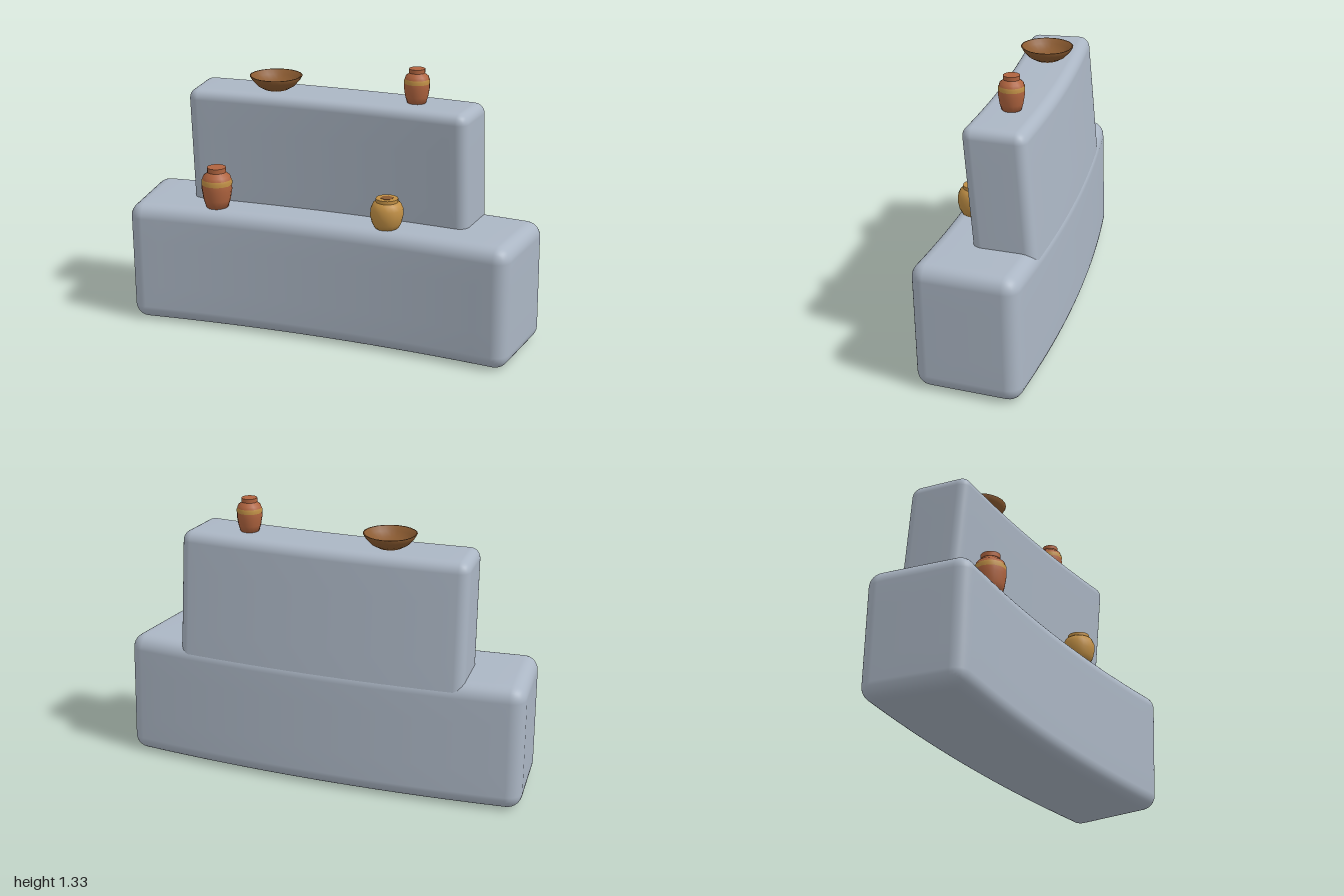
import * as THREE from 'three';
import { mergeVertices } from 'three/addons/utils/BufferGeometryUtils.js';

const mat = (name, color) => Object.assign(new THREE.MeshStandardMaterial({ color }), { name });

const BEND = 8.4; // radius of the gentle curve, centred in front

// Rounded block, bent around a vertical axis and leaning with height
function bentBlock(halfLen, y0, y1, halfDepth, r, zMid, lean) {
  const k = 4;
  const half = [halfLen, (y1 - y0) / 2, halfDepth];
  const n = [2 * k + 20, 2 * k + 4, 2 * k + 2];
  let geo = new THREE.BoxGeometry(1, 1, 1, ...n);
  const pos = geo.attributes.position;
  const p = new THREE.Vector3(), inner = new THREE.Vector3();
  // grid index to coordinate, with k narrow steps inside each rounded edge
  const place = (v, a) => {
    const i = Math.round((v + 0.5) * n[a]), h = half[a], flat = h - r;
    if (i <= k) return -h + (r * i) / k;
    if (i >= n[a] - k) return h - (r * (n[a] - i)) / k;
    return -flat + (2 * flat * (i - k)) / (n[a] - 2 * k);
  };
  for (let i = 0; i < pos.count; i++) {
    p.set(place(pos.getX(i), 0), place(pos.getY(i), 1), place(pos.getZ(i), 2));
    const c = p.toArray().map((v, a) => THREE.MathUtils.clamp(v, r - half[a], half[a] - r));
    inner.fromArray(c);
    p.sub(inner).setLength(r).add(inner);
    const y = p.y + (y0 + y1) / 2;
    const z = p.z + zMid + lean * (y - y0);
    const angle = p.x / BEND;
    pos.setXYZ(i, (BEND - z) * Math.sin(angle), y, BEND - (BEND - z) * Math.cos(angle));
  }
  geo.deleteAttribute('uv');
  geo.deleteAttribute('normal');
  geo = mergeVertices(geo, 1e-5);
  geo.computeVertexNormals();
  return geo;
}

const lathe = (pts, sides = 16) =>
  new THREE.LatheGeometry(pts.map(([x, y]) => new THREE.Vector2(x, y)), sides);

export function createModel() {
  const group = new THREE.Group();
  group.name = 'curvedShelf';
  const stone = mat('paleStone', 0xabb6c4);
  const terracotta = mat('terracotta', 0xb0643f);
  const ochre = mat('ochre', 0xc08f45);
  const brown = mat('brownWood', 0x8a5a30);

  const add = (parent, name, geo, material, x = 0, y = 0, z = 0) => {
    const mesh = new THREE.Mesh(geo, material);
    mesh.name = name;
    mesh.position.set(x, y, z);
    parent.add(mesh);
    return mesh;
  };

  // Stepped blocks
  add(group, 'lowerBlock', bentBlock(0.977, 0, 0.605, 0.252, 0.07, -0.034, 0.03), stone);
  add(group, 'upperBlock', bentBlock(0.7, 0.5, 1.165, 0.15, 0.05, -0.119, 0.09), stone);

  // Banded terracotta jars
  const jar = (name, x, y, z, s) => {
    const g = new THREE.Group();
    g.name = name;
    g.position.set(x, y, z);
    g.scale.setScalar(s);
    add(g, 'jarBody', lathe([[0, 0], [0.054, 0], [0.066, 0.04], [0.074, 0.09], [0.073, 0.13],
      [0.066, 0.157], [0.046, 0.172], [0.042, 0.178]]), terracotta);
    add(g, 'jarRim', new THREE.CylinderGeometry(0.046, 0.046, 0.023, 16), terracotta, 0, 0.1885, 0);
    add(g, 'jarBand', lathe([[0.0745, 0.116], [0.0745, 0.132], [0.0715, 0.142]]), ochre);
    group.add(g);
  };
  jar('lowerJar', -0.53, 0.603, 0.15, 1);
  jar('upperJar', 0.41, 1.163, -0.05, 0.82);

  // Round ochre pot with a dark opening
  const pot = new THREE.Group();
  pot.name = 'ochrePot';
  pot.position.set(0.335, 0.603, 0.147);
  add(pot, 'potBody', lathe([[0, 0], [0.056, 0], [0.07, 0.025], [0.078, 0.06], [0.077, 0.095],
    [0.066, 0.12], [0.05, 0.13]]), ochre);
  add(pot, 'potRim', new THREE.CylinderGeometry(0.053, 0.053, 0.018, 16), ochre, 0, 0.135, 0);
  add(pot, 'potOpening', new THREE.CylinderGeometry(0.03, 0.03, 0.004, 6), brown, 0, 0.144, 0);
  group.add(pot);

  // Shallow open bowl
  add(group, 'bowl', lathe([[0, 0], [0.055, 0], [0.09, 0.02], [0.114, 0.046], [0.127, 0.068],
    [0.119, 0.068], [0.104, 0.046], [0.08, 0.025], [0.05, 0.012], [0, 0.01]], 24),
  brown, -0.297, 1.163, -0.052);

  return group;
}
